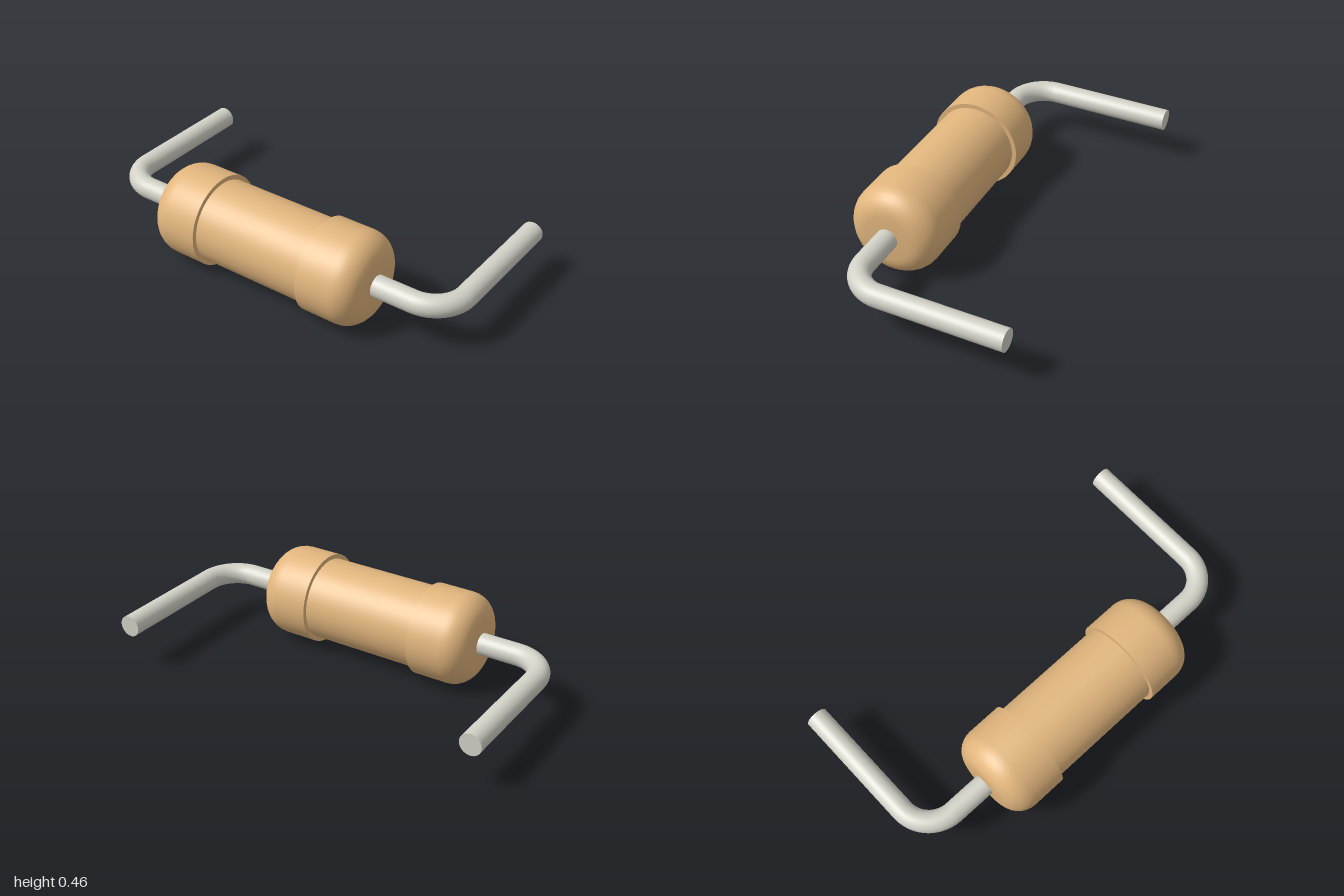
import * as THREE from 'three';
import { toCreasedNormals } from 'three/addons/utils/BufferGeometryUtils.js';

const AXIS_Y = 0.231, AXIS_Z = 0.281;   // centre line of the body
const CAP_R = 0.231, CORE_R = 0.208;    // body radii
const CAP_IN = 0.297, CAP_OUT = 0.585;  // cap extent along x
const FILLET = 0.115;
const WIRE_R = 0.054, WIRE_X = 0.946, WIRE_END = -0.512, BEND = 0.17;

// Thick end cap with a rounded outer rim and a flat end
function capGeometry() {
  const pts = [new THREE.Vector2(CORE_R - 0.02, CAP_IN), new THREE.Vector2(CAP_R, CAP_IN)];
  for (let i = 0; i <= 8; i++) {
    const a = (i / 8) * Math.PI / 2;
    pts.push(new THREE.Vector2(
      CAP_R - FILLET + FILLET * Math.cos(a),
      CAP_OUT - FILLET + FILLET * Math.sin(a)));
  }
  pts.push(new THREE.Vector2(0, CAP_OUT));
  return toCreasedNormals(new THREE.LatheGeometry(pts, 64), 0.6);
}

// Centre line of one lead: out of the body, round the bend, then back
function leadPath(side) {
  const p = (x, z) => new THREE.Vector3(side * x, AXIS_Y, z);
  const k = BEND * (1 - 0.5523);
  const path = new THREE.CurvePath();
  path.add(new THREE.LineCurve3(p(CAP_OUT - 0.05, AXIS_Z), p(WIRE_X - BEND, AXIS_Z)));
  path.add(new THREE.CubicBezierCurve3(
    p(WIRE_X - BEND, AXIS_Z), p(WIRE_X - k, AXIS_Z),
    p(WIRE_X, AXIS_Z - k), p(WIRE_X, AXIS_Z - BEND)));
  path.add(new THREE.LineCurve3(p(WIRE_X, AXIS_Z - BEND), p(WIRE_X, WIRE_END)));
  return path;
}

export function createModel() {
  const tan = new THREE.MeshStandardMaterial({ color: 0xe1b57d });
  tan.name = 'tanBody';
  const metal = new THREE.MeshStandardMaterial({ color: 0xd2d1c7 });
  metal.name = 'leadMetal';

  const model = new THREE.Group();
  model.name = 'resistor';
  const add = (name, geometry, material) => {
    const mesh = new THREE.Mesh(geometry, material);
    mesh.name = name;
    model.add(mesh);
    return mesh;
  };

  // Slimmer middle of the body
  const core = add('bodyCore',
    new THREE.CylinderGeometry(CORE_R, CORE_R, CAP_IN * 2 + 0.02, 64, 1, true), tan);
  core.rotation.z = Math.PI / 2;
  core.position.set(0, AXIS_Y, AXIS_Z);

  for (const [label, side] of [['left', 1], ['right', -1]]) {
    // Rounded end cap
    const cap = add(label + 'EndCap', capGeometry(), tan);
    cap.rotation.z = -side * Math.PI / 2;
    cap.position.set(0, AXIS_Y, AXIS_Z);

    // Bent wire lead and its flat cut end
    add(label + 'Lead', new THREE.TubeGeometry(leadPath(side), 90, WIRE_R, 32), metal);
    const tip = add(label + 'LeadTip', new THREE.CircleGeometry(WIRE_R, 32), metal);
    tip.rotation.y = Math.PI;
    tip.position.set(side * WIRE_X, AXIS_Y, WIRE_END);
  }
  return model;
}
